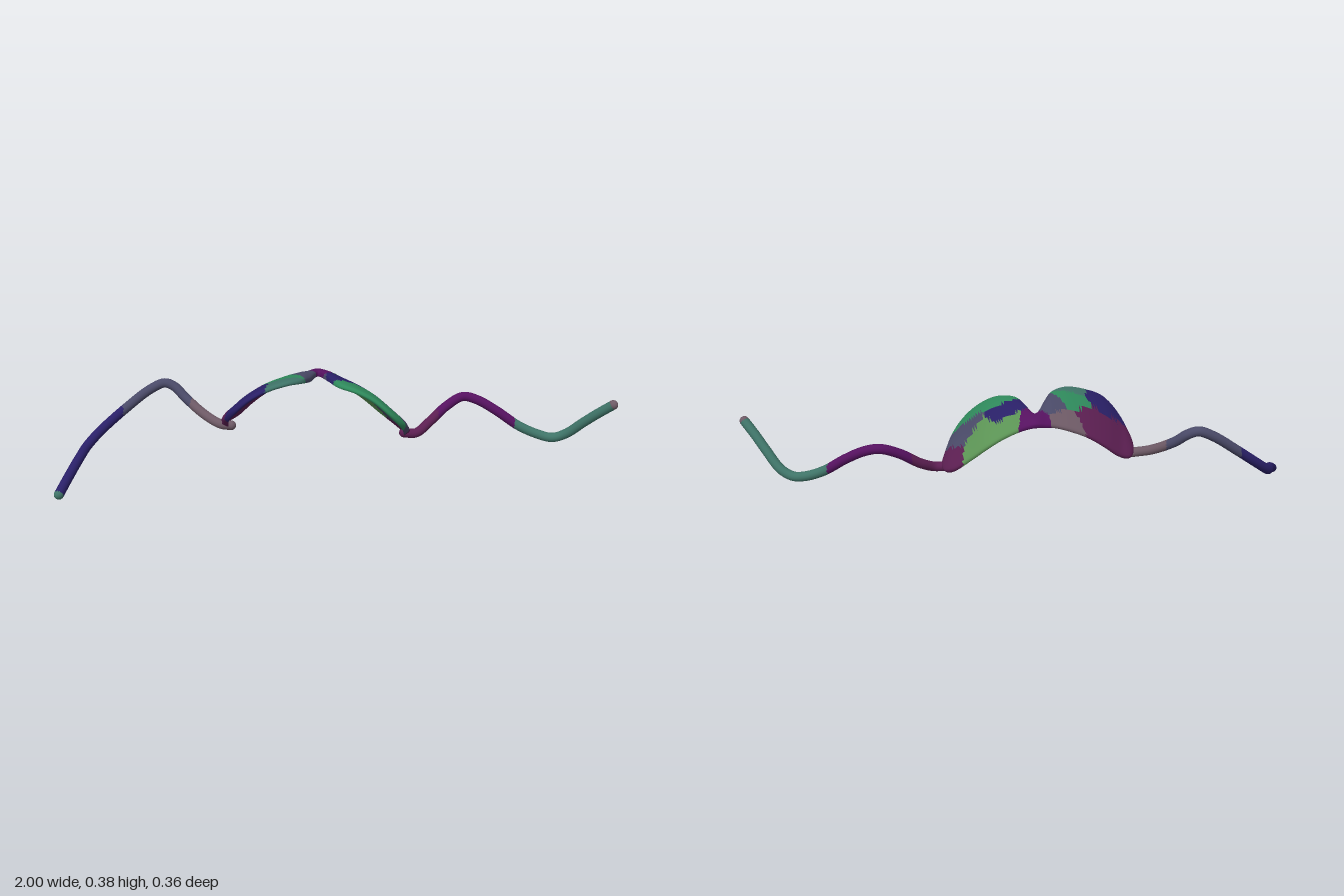
import * as THREE from 'three';

const vec = p => new THREE.Vector3(...p);
const spline = pts => new THREE.CatmullRomCurve3(pts.map(vec), false, 'centripetal');

// Splits a smooth geometry into colour patches: each face takes the colour of its nearest seed
function patches(geo, name, seeds) {
  const group = new THREE.Group();
  group.name = name;
  const pos = geo.attributes.position, idx = geo.index.array;
  const buckets = new Map();
  const c = new THREE.Vector3(), v = new THREE.Vector3();
  for (let i = 0; i < idx.length; i += 3) {
    c.set(0, 0, 0);
    for (let k = 0; k < 3; k++) c.add(v.fromBufferAttribute(pos, idx[i + k]));
    c.divideScalar(3);
    let best = 0, dist = Infinity;
    for (const [color, x, z] of seeds) {
      const d = Math.hypot(c.x - x, c.z - z);
      if (d < dist) { dist = d; best = color; }
    }
    if (!buckets.has(best)) buckets.set(best, []);
    buckets.get(best).push(idx[i], idx[i + 1], idx[i + 2]);
  }
  for (const [color, index] of buckets) {
    const part = new THREE.BufferGeometry();
    part.setAttribute('position', pos);
    part.setAttribute('normal', geo.attributes.normal);
    part.setIndex(index);
    const mesh = new THREE.Mesh(part, new THREE.MeshStandardMaterial({ color }));
    mesh.name = name + 'Patch';
    group.add(mesh);
  }
  return group;
}

// Closed loft between a back edge and a front edge: a thin arched shell with rounded rims
function shell(rows, thick, bulge) {
  const N = 128, M = 28, pos = [], idx = [];
  const back = spline(rows.map(r => r[0])), front = spline(rows.map(r => r[1]));
  const up = new THREE.Vector3(), across = new THREE.Vector3(), along = new THREE.Vector3();
  for (let i = 0; i <= N; i++) {
    const t = i / N;
    const b = back.getPoint(t), f = front.getPoint(t);
    along.addVectors(back.getTangent(t), front.getTangent(t));
    along.set(Math.max(along.x, 0.3), along.y, 0).normalize();
    across.subVectors(f, b);
    const half = across.length() / 2;
    across.normalize();
    up.crossVectors(across, along).normalize();
    const mid = b.add(f).multiplyScalar(0.5);
    const arch = bulge * Math.min(1, half / 0.1);
    for (let j = 0; j < M; j++) {
      const a = j / M * Math.PI * 2, ca = Math.cos(a), sa = Math.sin(a);
      const s = Math.sign(ca) * Math.abs(ca) ** 0.8;
      const h = thick * Math.sign(sa) * Math.abs(sa) ** 0.5 + arch * (1 - s * s);
      const p = mid.clone().addScaledVector(across, s * half).addScaledVector(up, h);
      pos.push(p.x, p.y, p.z);
    }
  }
  for (let i = 0; i < N; i++) for (let j = 0; j < M; j++) {
    const a = i * M + j, b = i * M + (j + 1) % M;
    idx.push(a, a + M, b, b, a + M, b + M);
  }
  // Closed ends
  const last = N * M;
  for (let j = 1; j < M - 1; j++) {
    idx.push(0, j, j + 1);
    idx.push(last, last + j + 1, last + j);
  }
  const geo = new THREE.BufferGeometry();
  geo.setAttribute('position', new THREE.Float32BufferAttribute(pos, 3));
  geo.setIndex(idx);
  geo.computeVertexNormals();
  return geo;
}

// Bent temple arm with a rounded tip
function arm(name, points, radius, seeds, tipColor) {
  const curve = spline(points);
  const group = patches(new THREE.TubeGeometry(curve, 120, radius, 14), name, seeds);
  [[points[0], seeds[0][0]], [points[points.length - 1], tipColor]].forEach(([p, color], i) => {
    const cap = new THREE.Mesh(new THREE.SphereGeometry(radius, 16, 12), new THREE.MeshStandardMaterial({ color }));
    cap.position.set(...p);
    cap.name = i ? name + 'Tip' : name + 'Hinge';
    group.add(cap);
  });
  return group;
}

export function createModel() {
  const model = new THREE.Group();
  model.name = 'bentGlasses';
  const plum = 0x5c1f52, green = 0x2f8a5c, lime = 0x5c9455, indigo = 0x2a2068;
  const slate = 0x4a4a68, taupe = 0x6e5a66, teal = 0x3f7468, violet = 0x561260;

  // Lenses and bridge: pairs of back edge and front edge points
  const rows = [
    [[-0.405, 0.183, -0.06], [-0.405, 0.19, -0.025]],
    [[-0.40, 0.182, -0.10], [-0.395, 0.235, 0.03]],
    [[-0.36, 0.20, -0.12], [-0.365, 0.285, 0.085]],
    [[-0.31, 0.24, -0.135], [-0.315, 0.335, 0.11]],
    [[-0.25, 0.28, -0.143], [-0.25, 0.365, 0.10]],
    [[-0.18, 0.31, -0.15], [-0.18, 0.38, 0.085]],
    [[-0.13, 0.325, -0.155], [-0.13, 0.375, 0.05]],
    [[-0.10, 0.33, -0.165], [-0.10, 0.36, -0.01]],
    [[-0.065, 0.335, -0.175], [-0.065, 0.35, -0.105]],
    [[-0.03, 0.325, -0.17], [-0.03, 0.355, -0.02]],
    [[0.00, 0.31, -0.162], [0.00, 0.355, 0.05]],
    [[0.05, 0.28, -0.152], [0.06, 0.345, 0.09]],
    [[0.10, 0.245, -0.148], [0.12, 0.315, 0.105]],
    [[0.16, 0.195, -0.135], [0.18, 0.262, 0.11]],
    [[0.22, 0.148, -0.12], [0.22, 0.212, 0.08]],
    [[0.25, 0.13, -0.09], [0.24, 0.17, 0.02]],
    [[0.257, 0.13, -0.055], [0.252, 0.137, -0.03]],
  ];
  model.add(patches(shell(rows, 0.013, 0.012), 'lensesAndBridge', [
    [plum, -0.36, -0.08], [plum, -0.27, -0.08], [indigo, -0.31, 0.06], [green, -0.2, -0.01],
    [teal, -0.2, 0.08], [taupe, -0.17, -0.13], [slate, -0.12, -0.06], [violet, -0.06, -0.15],
    [lime, 0.04, -0.13], [indigo, 0.04, -0.04], [green, 0.05, 0.05], [lime, 0.13, -0.09],
    [slate, 0.19, -0.02], [green, 0.17, 0.09], [plum, 0.24, -0.08],
  ]));

  // Right arm, bent down and forward at the tip
  model.add(arm('rightArm', [
    [-0.385, 0.18, -0.055], [-0.42, 0.185, -0.055], [-0.48, 0.21, -0.09], [-0.55, 0.26, -0.138],
    [-0.59, 0.297, -0.16], [-0.625, 0.31, -0.166], [-0.68, 0.288, -0.16], [-0.77, 0.225, -0.137],
    [-0.86, 0.155, -0.10], [-0.905, 0.115, -0.06], [-0.925, 0.095, 0.0], [-0.953, 0.06, 0.08],
    [-0.981, 0.021, 0.157],
  ], 0.0175, [[taupe, -0.41, -0.05], [slate, -0.66, -0.16], [indigo, -0.9, -0.1], [indigo, -0.96, 0.09]], teal));

  // Left arm, kinked down and curled up at the tip
  model.add(arm('leftArm', [
    [0.245, 0.135, -0.05], [0.29, 0.133, -0.05], [0.34, 0.16, -0.08], [0.41, 0.212, -0.112],
    [0.475, 0.24, -0.134], [0.53, 0.228, -0.125], [0.60, 0.19, -0.105], [0.68, 0.137, -0.085],
    [0.75, 0.108, -0.068], [0.80, 0.10, -0.05], [0.845, 0.12, -0.033], [0.90, 0.18, 0.005],
    [0.94, 0.225, 0.037], [0.981, 0.267, 0.068],
  ], 0.0175, [[plum, 0.27, -0.05], [violet, 0.48, -0.13], [teal, 0.85, -0.05], [teal, 0.95, 0.04]], taupe));

  return model;
}
